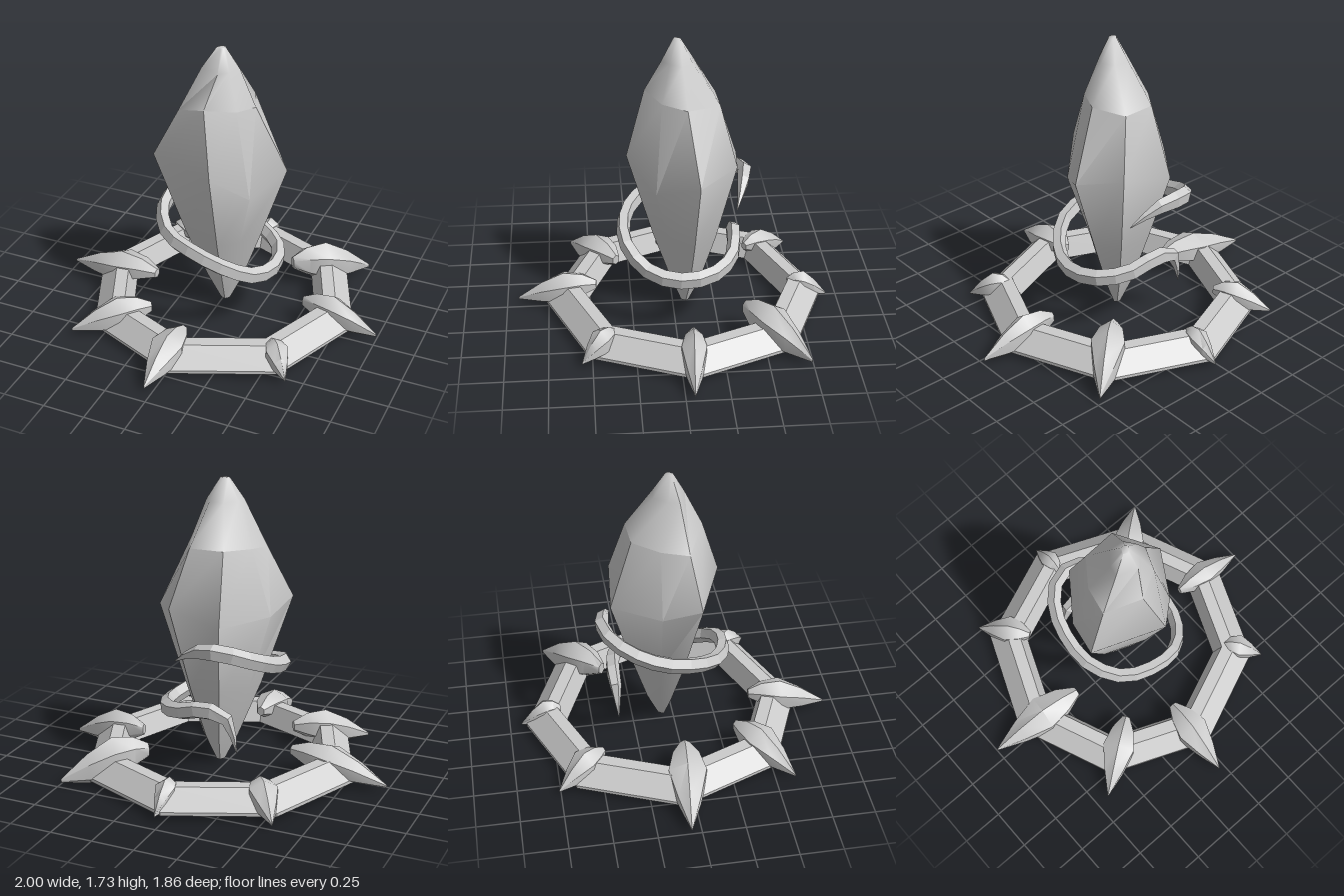
import * as THREE from 'three';
import { toCreasedNormals } from 'three/addons/utils/BufferGeometryUtils.js';

const V = (x, y, z) => new THREE.Vector3(x, y, z);

function material(flat = false) {
  return new THREE.MeshStandardMaterial({ color: 0xcccccc, flatShading: flat });
}

// Skin a list of equal-sized vertex rings and close both ends.
function loft(rings, crease) {
  const pos = [];
  const tri = (...pts) => pts.forEach((p) => pos.push(p.x, p.y, p.z));
  const n = rings[0].length;
  for (let i = 0; i < rings.length - 1; i++) {
    for (let j = 0; j < n; j++) {
      const k = (j + 1) % n;
      const a = rings[i][j], b = rings[i][k], c = rings[i + 1][k], d = rings[i + 1][j];
      tri(a, b, c);
      tri(a, c, d);
    }
  }
  const first = rings[0], last = rings[rings.length - 1];
  for (let j = 1; j < n - 1; j++) {
    tri(first[0], first[j + 1], first[j]);
    tri(last[0], last[j], last[j + 1]);
  }
  const geo = new THREE.BufferGeometry();
  geo.setAttribute('position', new THREE.Float32BufferAttribute(pos, 3));
  return toCreasedNormals(geo, crease);
}

// Irregular seven-sided crystal: widest corners, shoulder corners, and scaled copies.
const girdle = [
  V(-0.35, 1.05, 0.11), V(0.07, 1.05, 0.27), V(0.25, 0.88, 0.11),
  V(0.385, 0.98, -0.13), V(0.22, 1.03, -0.35), V(-0.1, 0.96, -0.38),
  V(-0.3, 0.98, -0.11),
];
const shoulder = [
  V(-0.21, 1.34, 0.06), V(-0.01, 1.42, 0.16), V(0.15, 1.4, 0.07),
  V(0.21, 1.38, -0.07), V(0.13, 1.37, -0.26), V(-0.07, 1.37, -0.25),
  V(-0.18, 1.36, -0.1),
];
const shrink = (s, y, cx, cz) =>
  girdle.map((p) => V(cx + (p.x - 0.02) * s, y, cz + (p.z + 0.04) * s));

function crystalBody() {
  return loft([
    shrink(0.07, 0.04, 0.03, -0.07),
    shrink(0.27, 0.2, 0.03, -0.07),
    shrink(0.58, 0.52, 0.025, -0.06),
    girdle,
    shoulder,
  ], 0.7);
}

function crystalCap() {
  return loft([
    shoulder,
    shrink(0.28, 1.61, 0.02, -0.02),
    shrink(0.07, 1.735, 0.02, -0.02),
  ], 1.2);
}

// Thorn lying outward: [position along length, width, centre height, half height]
const thornSections = [
  [0, 0.25, 0.14, 0.03], [0.18, 0.7, 0.14, 0.07], [0.42, 1, 0.125, 0.095],
  [0.7, 0.6, 0.09, 0.065], [1, 0.03, 0.045, 0.008],
];

function thornGeometry(base, tip, halfWidth, tall, lift = 0) {
  const start = V(base[0], 0, base[1]);
  const end = V(tip[0], 0, tip[1]);
  const side = V(0, 1, 0).cross(end.clone().sub(start).normalize());
  const rings = thornSections.map(([t, w, y, h]) => {
    const centre = start.clone().lerp(end, t);
    return Array.from({ length: 6 }, (_, i) => {
      const a = Math.PI / 2 + (i / 6) * Math.PI * 2;
      const p = centre.clone().addScaledVector(side, Math.cos(a) * halfWidth * w * 1.1);
      p.y = y + lift * (1 - t) + Math.sin(a) * h * tall;
      return p;
    });
  });
  return loft(rings, 0.8);
}

// Five-sided tendril, taller than wide, with both ends drawn out to points.
function tendrilGeometry() {
  const curve = new THREE.CatmullRomCurve3([
    V(0.18, 0.73, -0.36), V(0.03, 0.82, -0.41), V(-0.14, 0.84, -0.43),
    V(-0.27, 0.78, -0.32), V(-0.33, 0.7, -0.12), V(-0.32, 0.66, 0.06),
    V(-0.21, 0.6, 0.22), V(-0.02, 0.56, 0.29), V(0.16, 0.49, 0.27),
    V(0.29, 0.4, 0.15), V(0.35, 0.37, -0.02), V(0.32, 0.38, -0.2),
    V(0.18, 0.41, -0.33), V(0, 0.46, -0.37), V(-0.14, 0.43, -0.37),
    V(-0.2, 0.23, -0.36),
  ]);
  const steps = 28, sides = 5;
  const geo = new THREE.TubeGeometry(curve, steps, 0.042, sides);
  const pos = geo.attributes.position;
  const p = V(0, 0, 0);
  for (let i = 0; i <= steps; i++) {
    const centre = curve.getPointAt(i / steps);
    const size = Math.min(1, 0.06 + Math.min(i, steps - i) / 2.5);
    for (let j = 0; j <= sides; j++) {
      const k = i * (sides + 1) + j;
      p.fromBufferAttribute(pos, k).sub(centre).multiplyScalar(size);
      p.y *= 1.25;
      p.add(centre);
      pos.setXYZ(k, p.x, p.y, p.z);
    }
  }
  return geo;
}

export function createModel() {
  const model = new THREE.Group();
  model.name = 'crystalOnThornRing';
  const add = (name, geo, mat, parent = model) => {
    const mesh = new THREE.Mesh(geo, mat);
    mesh.name = name;
    parent.add(mesh);
    return mesh;
  };

  // Octagonal base ring with a bevelled section
  const section = [
    [0.59, 0.04], [0.83, 0.04], [0.83, 0.06], [0.72, 0.165], [0.64, 0.165], [0.59, 0.04],
  ].map(([r, y]) => new THREE.Vector2(r, y));
  const ring = add('baseRing', new THREE.LatheGeometry(section, 8), material(true));
  ring.position.set(0.02, 0, -0.07);

  // Crystal and the tendril winding around it
  const crystal = new THREE.Group();
  crystal.name = 'crystal';
  model.add(crystal);
  add('crystalBody', crystalBody(), material(), crystal);
  add('crystalCap', crystalCap(), material(), crystal);
  const tendrilMaterial = material(true);
  tendrilMaterial.side = THREE.DoubleSide;
  add('tendril', tendrilGeometry(), tendrilMaterial);

  // One thorn at each ring corner: base, tip (x, z), half width, height factor, lift
  const thorns = new THREE.Group();
  thorns.name = 'thorns';
  model.add(thorns);
  const thornMaterial = material();
  [
    [[0.04, -0.69], [0.04, -0.93], 0.06, 0.85],
    [[0.34, -0.4], [0.73, -0.74], 0.1, 1.4, 0.03],
    [[0.53, -0.08], [1.0, -0.05], 0.075, 1.15],
    [[0.5, 0.37], [0.66, 0.56], 0.07, 0.8],
    [[-0.01, 0.46], [-0.04, 0.93], 0.1, 1],
    [[-0.28, 0.33], [-0.67, 0.61], 0.1, 1.1],
    [[-0.4, 0.0], [-1.0, -0.06], 0.115, 1],
    [[-0.38, -0.48], [-0.58, -0.76], 0.085, 0.9],
  ].forEach(([base, tip, w, tall, lift], i) =>
    add(`thorn${i + 1}`, thornGeometry(base, tip, w, tall, lift), thornMaterial, thorns));

  return model;
}
